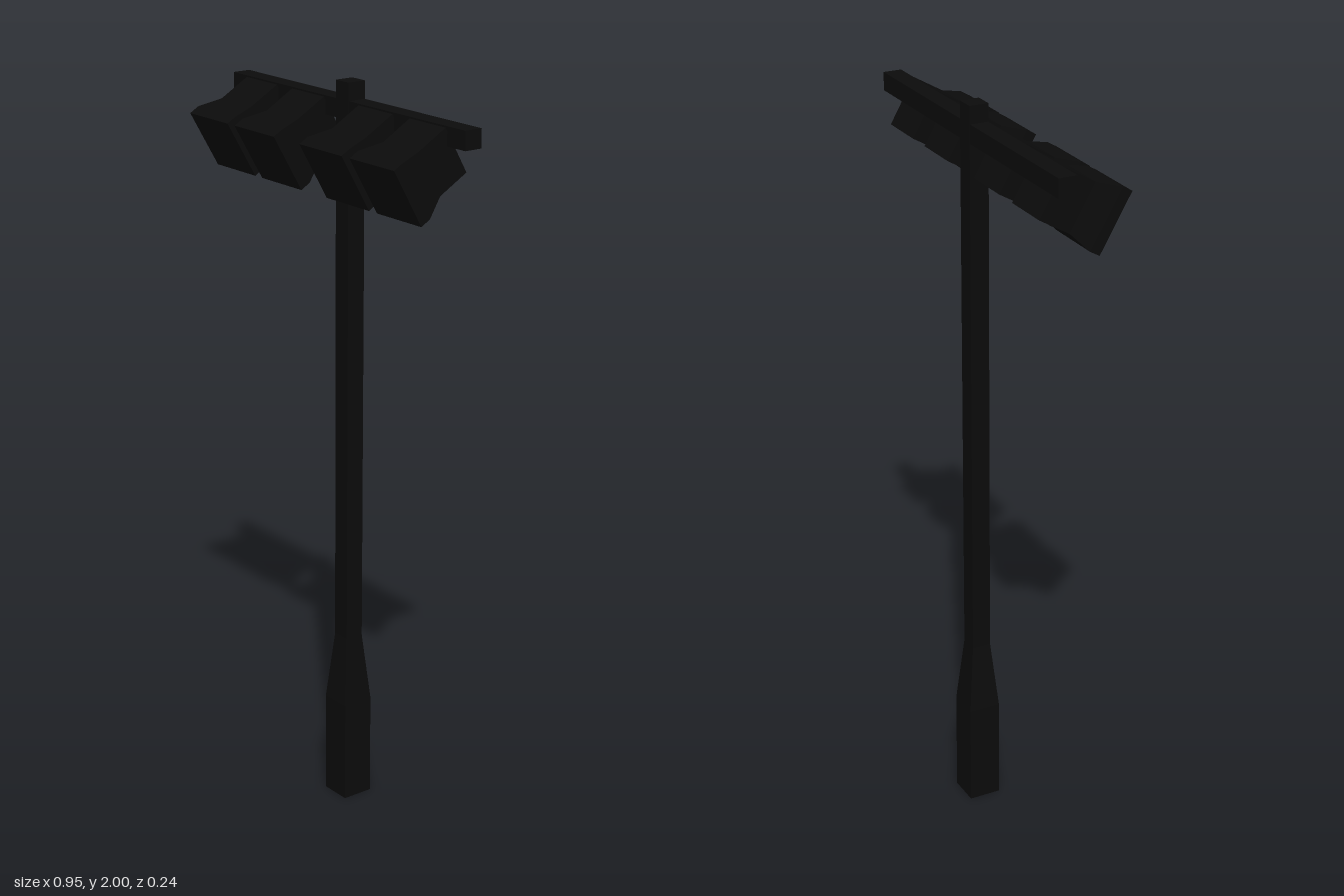
import * as THREE from 'three';

// Square-section solid along +y from [half width, height] pairs, with flat faces and closed ends
function squareLoft(sections) {
  const pts = sections.map(([h, y]) => new THREE.Vector2(h * Math.SQRT2, y));
  pts.unshift(new THREE.Vector2(0, sections[0][1]));
  pts.push(new THREE.Vector2(0, sections[sections.length - 1][1]));
  const geo = new THREE.LatheGeometry(pts, 4).rotateY(Math.PI / 4).toNonIndexed();
  geo.computeVertexNormals();
  return geo;
}

export function createModel() {
  const group = new THREE.Group();
  const black = new THREE.MeshStandardMaterial({ color: 0x0b0b0b });
  black.name = 'black metal';

  const add = (name, geo, x, y, z) => {
    const mesh = new THREE.Mesh(geo, black);
    mesh.name = name;
    mesh.position.set(x, y, z);
    group.add(mesh);
    return mesh;
  };

  // Pole with a thick foot that tapers into the shaft
  const poleZ = -0.079;
  add('pole', squareLoft([[0.044, 0], [0.044, 0.285], [0.026, 0.475], [0.026, 2]]), 0, 0, poleZ);

  // Crossbar carrying the lamps
  add('crossbar', new THREE.BoxGeometry(0.952, 0.049, 0.05), 0, 1.929, poleZ);

  // Floodlights: wide front, short taper, square housing behind, aimed 30 degrees down
  const lampGeo = squareLoft([[0.0855, 0], [0.0855, 0.03], [0.068, 0.093], [0.068, 0.187]]);
  for (const x of [-0.341, -0.139, 0.139, 0.341]) {
    add('floodlight', lampGeo, x, 1.798, 0.079).rotation.x = -Math.PI / 3;
  }

  return group;
}
